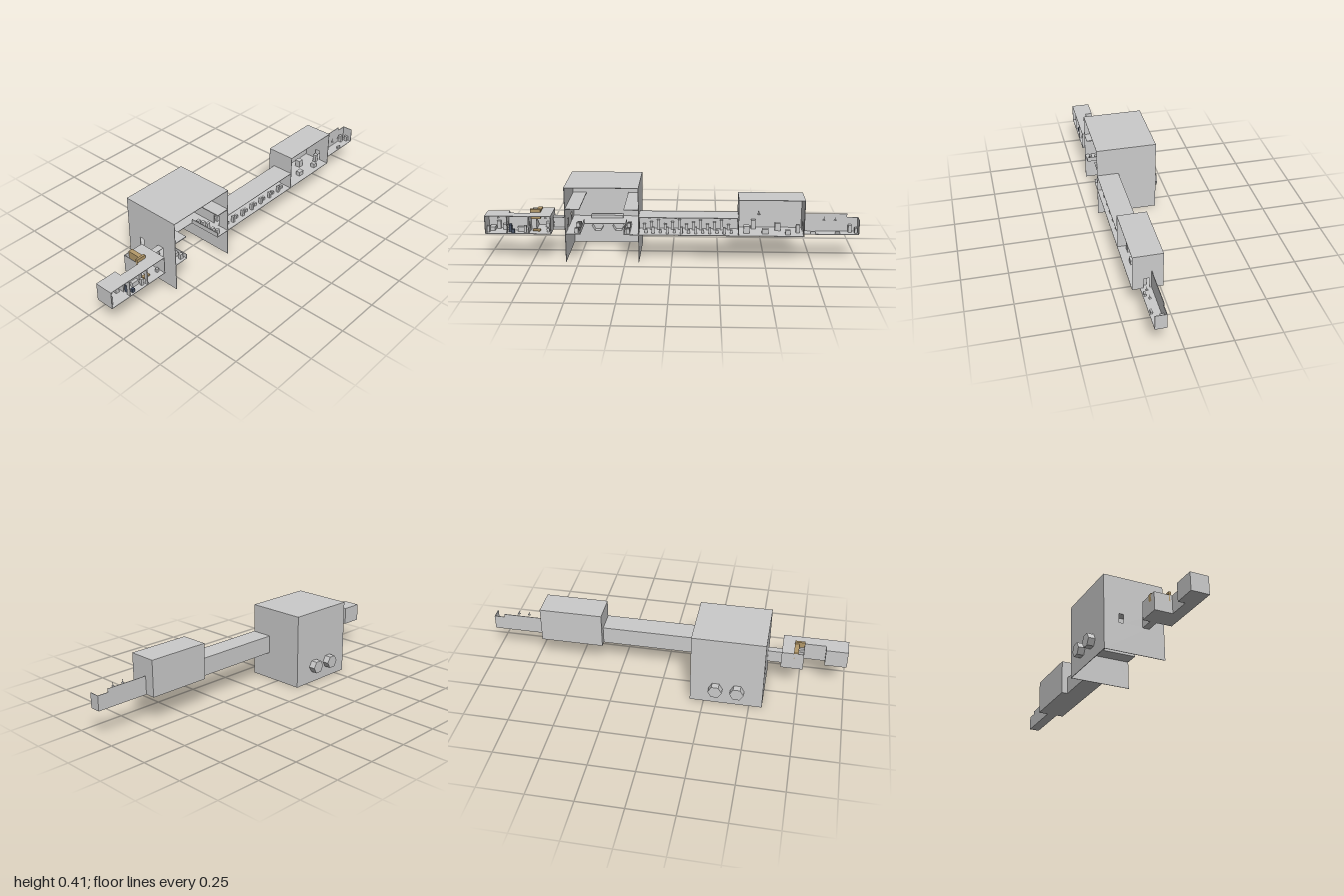
import * as THREE from 'three';

const T = 0.003;          // wall thickness
const FLOOR = 0.155;      // shared floor level
const FRONT = 0.187;      // open front plane
const grey = new THREE.MeshStandardMaterial({ color: 0xcccccc, flatShading: true });
const tan = new THREE.MeshStandardMaterial({ color: 0xb59a6a, flatShading: true });
const navy = new THREE.MeshStandardMaterial({ color: 0x4a5568, flatShading: true });

// Box given by its min and max on each axis
function slab(parent, name, x0, x1, y0, y1, z0, z1, mat = grey) {
  const m = new THREE.Mesh(new THREE.BoxGeometry(x1 - x0, y1 - y0, z1 - z0), mat);
  m.position.set((x0 + x1) / 2, (y0 + y1) / 2, (z0 + z1) / 2);
  m.name = name;
  parent.add(m);
  return m;
}

// Wall across x whose outer face ends at x, with doorways [z0, z1, y0, y1]
function endWall(parent, name, x, y0, y1, z0, z1, doors = []) {
  const rect = (a, b, c, d, s) => s.moveTo(a, c).lineTo(b, c).lineTo(b, d).lineTo(a, d).closePath();
  const shape = rect(z0, z1, y0, y1, new THREE.Shape());
  for (const d of doors) shape.holes.push(rect(...d, new THREE.Path()));
  const geo = new THREE.ExtrudeGeometry(shape, { depth: T, bevelEnabled: false });
  geo.rotateY(-Math.PI / 2);
  const m = new THREE.Mesh(geo, grey);
  m.position.x = x;
  m.name = name;
  parent.add(m);
}

// Open-fronted room: floor, back, optional roof, optional end walls (arrays of doorways)
function room(parent, name, x0, x1, y1, z0, z1, { roof = true, left, right } = {}) {
  const g = new THREE.Group();
  g.name = name;
  slab(g, 'floor', x0, x1, FLOOR, FLOOR + T, z0, z1);
  slab(g, 'backWall', x0, x1, FLOOR, y1, z0, z0 + T);
  if (roof) slab(g, 'roof', x0, x1, y1 - T, y1, z0, z1);
  if (right) endWall(g, 'lowXWall', x0 + T, FLOOR, y1, z0, z1, right);
  if (left) endWall(g, 'highXWall', x1, FLOOR, y1, z0, z1, left);
  parent.add(g);
  return g;
}

// Furniture rows: [x, z, width, height, depth]
function furnish(parent, name, rows, mat = grey) {
  for (const [x, z, w, h, d] of rows)
    slab(parent, name, x - w / 2, x + w / 2, FLOOR + T, FLOOR + T + h, z - d / 2, z + d / 2, mat);
}

// Small cone lamp on a thin stem
function lamp(parent, x, y, z) {
  const shade = new THREE.Mesh(new THREE.ConeGeometry(0.009, 0.012, 6), grey);
  shade.position.set(x, y, z);
  shade.name = 'lampShade';
  parent.add(shade);
  slab(parent, 'lampStem', x - 0.001, x + 0.001, y, y + 0.016, z - 0.001, z + 0.001);
}

// Tall open-bottomed hall with galleries and two hexagonal ports
function greatHall(root) {
  const g = new THREE.Group();
  g.name = 'greatHall';
  const X0 = -0.57, X1 = -0.175, Y1 = 0.415, Z0 = -0.15;
  slab(g, 'roof', X0, X1, Y1 - T, Y1, Z0, FRONT);
  endWall(g, 'lowXWall', X0 + T, 0, Y1, Z0, FRONT,
    [[-0.068, -0.042, FLOOR + T, 0.207], [0.07, 0.097, FLOOR + T, 0.215]]);
  endWall(g, 'highXWall', X1, 0, Y1, Z0, FRONT, [[0.09, 0.125, FLOOR + T, 0.22]]);

  // Back wall pierced by the ports
  const wall = new THREE.Shape();
  wall.moveTo(X0, 0).lineTo(X1, 0).lineTo(X1, Y1).lineTo(X0, Y1).closePath();
  const hex = (Type, x, y, r) => {
    const p = new Type();
    for (let i = 0; i < 6; i++) {
      const a = i * Math.PI / 3;
      p[i ? 'lineTo' : 'moveTo'](x + r * Math.cos(a), y + r * Math.sin(a));
    }
    return p.closePath();
  };
  for (const x of [-0.432, -0.314]) {
    wall.holes.push(hex(THREE.Path, x, 0.096, 0.033));
    const ring = hex(THREE.Shape, x, 0.096, 0.038);
    ring.holes.push(hex(THREE.Path, x, 0.096, 0.033));
    const tube = new THREE.Mesh(new THREE.ExtrudeGeometry(ring, { depth: 0.037, bevelEnabled: false }), grey);
    tube.position.z = -0.187;
    tube.name = 'hexPort';
    const cap = new THREE.Mesh(new THREE.ExtrudeGeometry(hex(THREE.Shape, x, 0.096, 0.033),
      { depth: T, bevelEnabled: false }), grey);
    cap.position.z = -0.187;
    cap.name = 'hexPortCap';
    g.add(tube, cap);
  }
  const back = new THREE.Mesh(new THREE.ExtrudeGeometry(wall, { depth: T, bevelEnabled: false }), grey);
  back.position.z = Z0;
  back.name = 'backWall';
  g.add(back);

  // Side galleries mirrored about the hall's middle, joined by a rear platform
  const mid = (X0 + X1) / 2;
  for (const s of [-1, 1]) {
    const span = (a, b) => s < 0 ? [mid - b, mid - a] : [mid + a, mid + b];
    slab(g, 'galleryFloor', ...span(0.118, 0.194), FLOOR, FLOOR + T, Z0 + T, FRONT);
    slab(g, 'galleryCeiling', ...span(0.118, 0.194), 0.292, 0.297, Z0 + T, FRONT);
    slab(g, 'galleryParapet', ...span(0.116, 0.119), FLOOR, 0.182, 0, FRONT);
    for (let i = 0; i < 5; i++) {
      const z = 0.02 + i * 0.034;
      slab(g, 'galleryDesk', ...span(0.128, 0.148), FLOOR + T, 0.178 + 0.008 * (i % 3), z, z + 0.016);
    }
  }
  slab(g, 'rearPlatform', mid - 0.118, mid + 0.118, FLOOR, FLOOR + T, Z0 + T, 0);
  slab(g, 'rearBench', mid - 0.09, mid + 0.09, FLOOR, 0.175, -0.13, -0.1);
  root.add(g);
}

export function createModel() {
  const root = new THREE.Group();
  root.name = 'roomComplex';
  greatHall(root);

  // Small rooms on the low-x side
  const roomA = room(root, 'cornerRoom', -1, -0.88, 0.255, 0.085, FRONT, { right: [], left: [[0.14, 0.165, FLOOR + T, 0.215]] });
  furnish(roomA, 'table', [[-0.97, 0.12, 0.03, 0.02, 0.04], [-0.905, 0.11, 0.02, 0.03, 0.025]]);
  furnish(roomA, 'cabinet', [[-0.985, 0.16, 0.014, 0.035, 0.02], [-0.94, 0.1, 0.02, 0.045, 0.015]]);
  lamp(roomA, -0.935, 0.236, 0.14);
  const roomB = room(root, 'narrowRoom', -0.88, -0.765, 0.255, 0.125, FRONT, { left: [[0.145, 0.17, FLOOR + T, 0.215]] });
  furnish(roomB, 'locker', [[-0.868, 0.15, 0.014, 0.04, 0.02], [-0.85, 0.17, 0.016, 0.02, 0.016]], navy);
  furnish(roomB, 'bench', [[-0.81, 0.14, 0.04, 0.025, 0.018], [-0.785, 0.165, 0.014, 0.038, 0.014]]);
  const roomC = room(root, 'stairRoom', -0.765, -0.645, 0.255, 0.025, FRONT,
    { roof: false, right: [[0.145, 0.17, FLOOR + T, 0.215]], left: [[0.07, 0.097, FLOOR + T, 0.215]] });
  slab(roomC, 'roofFront', -0.765, -0.645, 0.252, 0.255, 0.12, FRONT);
  slab(roomC, 'roofSide', -0.71, -0.645, 0.252, 0.255, 0.025, 0.12);
  furnish(roomC, 'crate', [[-0.68, 0.06, 0.02, 0.025, 0.03], [-0.665, 0.15, 0.014, 0.02, 0.014]]);
  lamp(roomC, -0.68, 0.236, 0.14);

  // Stairwell rising through the roof
  slab(roomC, 'stairSide', -0.735, -0.71, 0.22, 0.262, 0.025, 0.12, tan);
  slab(roomC, 'stairHead', -0.765, -0.71, 0.22, 0.274, 0.107, 0.12, tan);
  for (let i = 0; i < 6; i++)
    slab(roomC, 'stairTread', -0.762, -0.735, FLOOR + T, 0.172 + i * 0.014, 0.03 + i * 0.0128, 0.0428 + i * 0.0128);
  slab(roomC, 'stairMat', -0.75, -0.71, FLOOR + T, 0.166, 0.125, 0.145, tan);
  room(root, 'connector', -0.645, -0.57, 0.225, 0.065, 0.102);

  // Long corridor with rows of consoles
  const corridor = room(root, 'corridor', -0.175, 0.355, 0.255, 0.065, FRONT);
  for (let i = 0; i < 13; i++) {
    const x = -0.15 + i * 0.038;
    furnish(corridor, 'console', [
      [x, 0.085, 0.016, 0.03 + 0.012 * (i % 3), 0.018],
      [x + 0.012, 0.145 + 0.012 * (i % 2), 0.014, 0.018 + 0.009 * ((i * 2) % 4), 0.016]]);
  }
  for (const x of [-0.12, 0.02, 0.31]) lamp(corridor, x, 0.236, 0.12);

  // Taller hall
  const hall = room(root, 'tallHall', 0.355, 0.705, 0.355, 0.03, FRONT,
    { right: [[0.08, 0.112, FLOOR + T, 0.24]], left: [[0.1, 0.13, FLOOR + T, 0.215]] });
  furnish(hall, 'crate', [[0.4, 0.13, 0.03, 0.04, 0.03], [0.44, 0.06, 0.025, 0.05, 0.02],
    [0.5, 0.14, 0.035, 0.025, 0.025], [0.57, 0.08, 0.03, 0.04, 0.03], [0.62, 0.15, 0.025, 0.025, 0.025], [0.675, 0.12, 0.02, 0.045, 0.02]]);
  lamp(hall, 0.47, 0.24, 0.045);

  // Roofless walkway with lamps and a low end bay
  const walk = room(root, 'walkway', 0.705, 0.94, 0.256, 0.087, 0.147, { roof: false });
  furnish(walk, 'bench', [[0.755, 0.136, 0.025, 0.012, 0.01], [0.885, 0.136, 0.025, 0.012, 0.01]]);
  for (const x of [0.81, 0.87]) lamp(walk, x, 0.24, 0.139);
  const bay = room(root, 'endBay', 0.94, 1, 0.237, 0.087, 0.147, { roof: false, left: [] });
  furnish(bay, 'cabinet', [[0.955, 0.1, 0.018, 0.04, 0.02], [0.985, 0.12, 0.014, 0.03, 0.02]]);

  return root;
}
